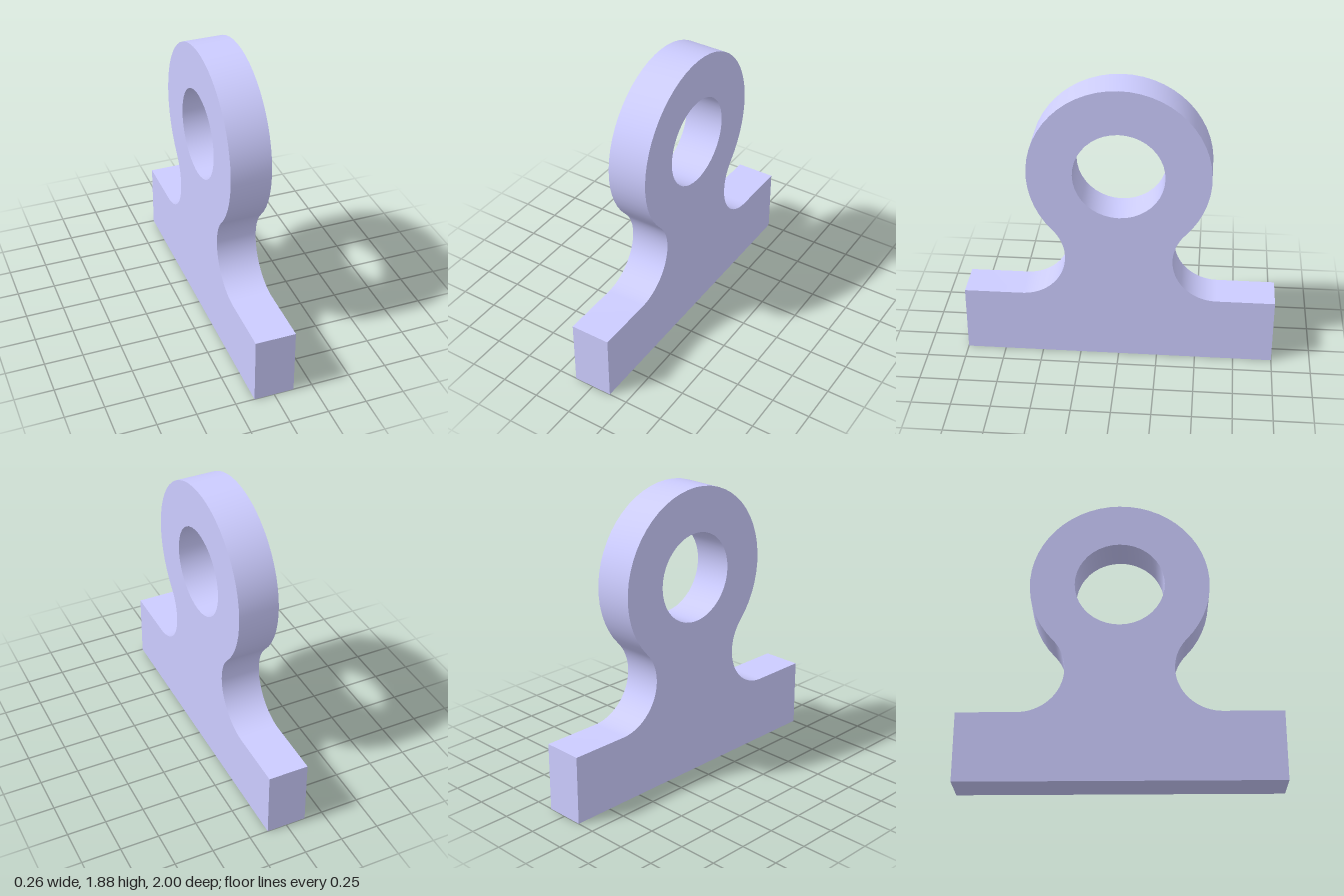
import * as THREE from 'three';
import { toCreasedNormals } from 'three/addons/utils/BufferGeometryUtils.js';

export function createModel() {
  const group = new THREE.Group();
  group.name = 'eyeBracket';

  const baseTop = 0.441, ringY = 1.312, ringR = 0.571, holeR = 0.286, filletR = 0.286;
  const thickness = 0.257;

  // Neck fillets are tangent to both the base top and the ring
  const filletY = baseTop + filletR;
  const rise = ringY - filletY;
  const filletX = Math.sqrt((ringR + filletR) ** 2 - rise ** 2);
  const a = Math.atan2(rise, filletX);

  // Outline: base bar, right fillet, ring, left fillet
  const outline = new THREE.Shape();
  outline.moveTo(-1, 0);
  outline.lineTo(1, 0);
  outline.lineTo(1, baseTop);
  outline.absarc(filletX, filletY, filletR, -Math.PI / 2, Math.PI - a, true);
  outline.absarc(0, ringY, ringR, -a, Math.PI + a, false);
  outline.absarc(-filletX, filletY, filletR, a, -Math.PI / 2, true);
  outline.lineTo(-1, baseTop);
  outline.closePath();

  // Round eye through the ring
  const eye = new THREE.Path();
  eye.absarc(0, ringY, holeR, 0, Math.PI * 2, true);
  outline.holes.push(eye);

  // Plate stands in the YZ plane
  const plate = new THREE.ExtrudeGeometry(outline, { depth: thickness, bevelEnabled: false, curveSegments: 20 });
  plate.translate(0, 0, -thickness / 2);
  plate.rotateY(Math.PI / 2);

  const mesh = new THREE.Mesh(
    toCreasedNormals(plate, 0.6),
    new THREE.MeshStandardMaterial({ color: 0xccccff })
  );
  mesh.name = 'eyePlate';
  group.add(mesh);
  return group;
}
